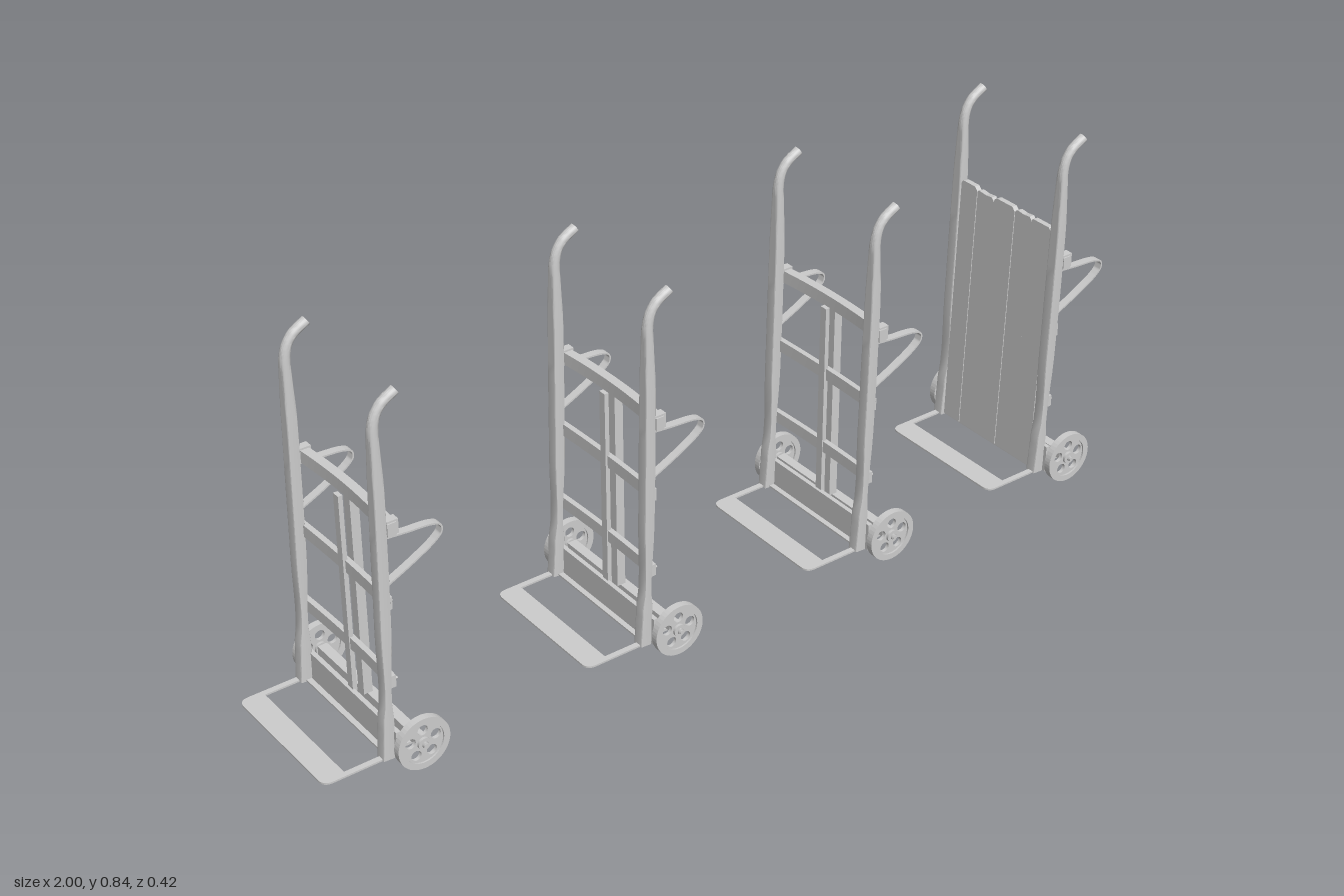
import * as THREE from 'three';
import { toCreasedNormals } from 'three/addons/utils/BufferGeometryUtils.js';

const material = new THREE.MeshStandardMaterial({ color: 0xcccccc, side: THREE.DoubleSide });

function add(parent, name, geometry, x = 0, y = 0, z = 0) {
  const mesh = new THREE.Mesh(geometry, material);
  mesh.name = name;
  mesh.position.set(x, y, z);
  parent.add(mesh);
  return mesh;
}

// Sweep in the xy plane; each row is [x, y, half thickness, half depth in z, roundness 0..1]
function sweep(rows, steps, sides = 16) {
  const path = new THREE.CatmullRomCurve3(rows.map(r => new THREE.Vector3(r[0], r[1], 0)));
  const size = new THREE.CatmullRomCurve3(rows.map(r => new THREE.Vector3(r[2], r[3], r[4])));
  const pos = [], idx = [];
  const power = (v, e) => Math.sign(v) * Math.abs(v) ** e;
  for (let i = 0; i <= steps; i++) {
    const p = path.getPoint(i / steps), t = path.getTangent(i / steps), s = size.getPoint(i / steps);
    for (let j = 0; j < sides; j++) {
      const a = ((j + 0.5) / sides) * Math.PI * 2;
      const u = s.x * power(Math.cos(a), s.z), v = -s.y * power(Math.sin(a), s.z);
      pos.push(p.x + t.y * u, p.y - t.x * u, v);
    }
  }
  for (let i = 0; i < steps; i++) for (let j = 0; j < sides; j++) {
    const a = i * sides + j, b = i * sides + (j + 1) % sides;
    idx.push(a, b, b + sides, a, b + sides, a + sides);
  }
  const last = steps * sides;
  for (let j = 1; j < sides - 1; j++) {
    idx.push(0, j + 1, j, last, last + j, last + j + 1);
  }
  const g = new THREE.BufferGeometry();
  g.setAttribute('position', new THREE.Float32BufferAttribute(pos, 3));
  g.setIndex(idx);
  return toCreasedNormals(g, 0.6);
}

// Bar along z, bowed towards +x in the middle
function bowedBar(thick, height, length, bow) {
  const g = new THREE.BoxGeometry(thick, height, length, 1, 1, 12);
  const p = g.attributes.position;
  for (let i = 0; i < p.count; i++) p.setX(i, p.getX(i) + bow * (1 - (2 * p.getZ(i) / length) ** 2));
  return toCreasedNormals(g, 0.5);
}

function extrude(shape, depth) {
  return new THREE.ExtrudeGeometry(shape, { depth, bevelEnabled: false, curveSegments: 24 });
}

const rod = (r, length, sides = 16) => new THREE.CylinderGeometry(r, r, length, sides).rotateX(Math.PI / 2);

const railGeometry = sweep([
  [-0.061, 0.028, 0.013, 0.013, 0.15],
  [-0.056, 0.12, 0.012, 0.013, 0.15],
  [-0.049, 0.32, 0.012, 0.013, 0.15],
  [-0.045, 0.52, 0.012, 0.013, 0.15],
  [-0.043, 0.64, 0.012, 0.013, 0.25],
  [-0.043, 0.73, 0.011, 0.012, 0.6],
  [-0.042, 0.77, 0.011, 0.011, 0.9],
  [-0.035, 0.797, 0.0105, 0.0105, 1],
  [-0.020, 0.817, 0.0105, 0.0105, 1],
  [0.010, 0.835, 0.0105, 0.0105, 1],
], 45);

const strapGeometry = sweep([
  [-0.036, 0.430, 0.002, 0.009, 0.1],
  [0.020, 0.457, 0.002, 0.009, 0.1],
  [0.070, 0.486, 0.002, 0.009, 0.1],
  [0.085, 0.502, 0.002, 0.009, 0.1],
  [0.084, 0.517, 0.002, 0.009, 0.1],
  [0.068, 0.525, 0.002, 0.009, 0.1],
  [0.010, 0.530, 0.002, 0.009, 0.1],
  [-0.033, 0.534, 0.002, 0.009, 0.1],
], 42, 8);

// Flat toe frame with rounded front corners and one large opening
function toeGeometry() {
  const s = new THREE.Shape();
  const x0 = -0.206, x1 = -0.05, w = 0.165, r = 0.022;
  s.moveTo(x1, -w);
  s.lineTo(x1, w);
  s.lineTo(x0 + r, w);
  s.quadraticCurveTo(x0, w, x0, w - r);
  s.lineTo(x0, r - w);
  s.quadraticCurveTo(x0, -w, x0 + r, -w);
  s.closePath();
  const h = new THREE.Path();
  h.moveTo(-0.153, -0.152);
  h.lineTo(-0.062, -0.152);
  h.lineTo(-0.062, 0.152);
  h.lineTo(-0.153, 0.152);
  h.closePath();
  s.holes.push(h);
  return extrude(s, 0.004).rotateX(-Math.PI / 2);
}

// Tyre ring, pierced disc and hub
function makeWheel() {
  const wheel = new THREE.Group();
  wheel.name = 'wheel';
  const ring = new THREE.Shape().absarc(0, 0, 0.059, 0, Math.PI * 2);
  ring.holes.push(new THREE.Path().absarc(0, 0, 0.045, 0, Math.PI * 2, true));
  add(wheel, 'tyre', extrude(ring, 0.016), 0, 0, -0.008);
  const disc = new THREE.Shape().absarc(0, 0, 0.046, 0, Math.PI * 2);
  for (let i = 0; i < 5; i++) {
    const a = (i / 5) * Math.PI * 2 + Math.PI / 2;
    disc.holes.push(new THREE.Path().absarc(0.03 * Math.cos(a), 0.03 * Math.sin(a), 0.0115, 0, Math.PI * 2, true));
  }
  add(wheel, 'wheelDisc', extrude(disc, 0.008), 0, 0, -0.004);
  add(wheel, 'hub', rod(0.014, 0.02, 20));
  return wheel;
}

// Plank with a worn, uneven top edge, standing in the yz plane
function plankGeometry(width, height, i) {
  const s = new THREE.Shape();
  const h = width / 2, r = 0.006 + 0.004 * (i % 3);
  s.moveTo(-h, 0);
  s.lineTo(h, 0);
  s.lineTo(h, height - r);
  s.quadraticCurveTo(h, height, h - r, height);
  s.lineTo(0, height - 0.002 * (i % 2));
  s.lineTo(-h + 0.008, height);
  s.lineTo(-h, height - 0.008);
  s.closePath();
  return extrude(s, 0.013).translate(0, 0, -0.0065).rotateY(Math.PI / 2);
}

function makeTruck(boarded) {
  const truck = new THREE.Group();
  truck.name = 'handTruck';

  for (const side of [-1, 1]) {
    add(truck, 'sideRail', railGeometry, 0, 0, side * 0.157);
    add(truck, 'supportStrap', strapGeometry, 0, 0, side * 0.16);
    add(truck, 'crossbarBracket', new THREE.BoxGeometry(0.032, 0.032, 0.018), -0.022, 0.551, side * 0.158);
    const wheel = makeWheel();
    wheel.position.set(0, 0.059, side * 0.194);
    truck.add(wheel);
    add(truck, 'axleNut', rod(0.007, 0.006, 6), 0, 0.059, side * 0.206);
    for (const [x, y] of [[-0.032, 0.435], [-0.027, 0.385], [-0.027, 0.204], [-0.036, 0.08]]) {
      add(truck, 'bolt', new THREE.CylinderGeometry(0.003, 0.003, 0.004, 8).rotateZ(Math.PI / 2), x, y, side * 0.157);
    }
  }

  // Cross members and centre uprights
  add(truck, 'topCrossbar', bowedBar(0.02, 0.028, 0.34, 0.01), -0.022, 0.549);
  add(truck, 'upperRung', bowedBar(0.012, 0.028, 0.33, 0.004), -0.035, 0.384);
  add(truck, 'lowerRung', bowedBar(0.012, 0.027, 0.33, 0.004), -0.038, 0.2035);
  add(truck, 'centrePost', new THREE.BoxGeometry(0.02, 0.47, 0.022), -0.009, 0.305);
  if (!boarded) add(truck, 'frontSlat', new THREE.BoxGeometry(0.01, 0.46, 0.018), -0.037, 0.315);

  // Axle beam on an angle bracket
  add(truck, 'basePlate', new THREE.BoxGeometry(0.01, 0.064, 0.356), -0.043, 0.06);
  add(truck, 'baseShelf', new THREE.BoxGeometry(0.05, 0.006, 0.34), -0.016, 0.047);
  add(truck, 'axleBeam', new THREE.BoxGeometry(0.022, 0.02, 0.365), 0, 0.06);
  add(truck, 'axle', rod(0.005, 0.422), 0, 0.059);
  add(truck, 'toeFrame', toeGeometry(), 0, 0.028);

  if (boarded) {
    const edges = [0.144, 0.083, 0.029, -0.038, -0.092, -0.144];
    const heights = [0.598, 0.598, 0.6, 0.595, 0.6];
    const boards = new THREE.Group();
    boards.name = 'boards';
    for (let i = 0; i < 5; i++) {
      const plank = plankGeometry(edges[i] - edges[i + 1] - 0.001, heights[i], i);
      add(boards, 'plank', plank, 0.001 * (i % 2), 0, (edges[i] + edges[i + 1]) / 2);
    }
    boards.position.set(-0.059, 0.032, 0);
    boards.rotation.z = -0.025;
    truck.add(boards);
  }
  return truck;
}

export function createModel() {
  const model = new THREE.Group();
  model.name = 'handTrucks';
  [-0.794, -0.178, 0.393, 0.912].forEach((x, i) => {
    const truck = makeTruck(i === 3);
    truck.position.x = x;
    model.add(truck);
  });
  return model;
}
